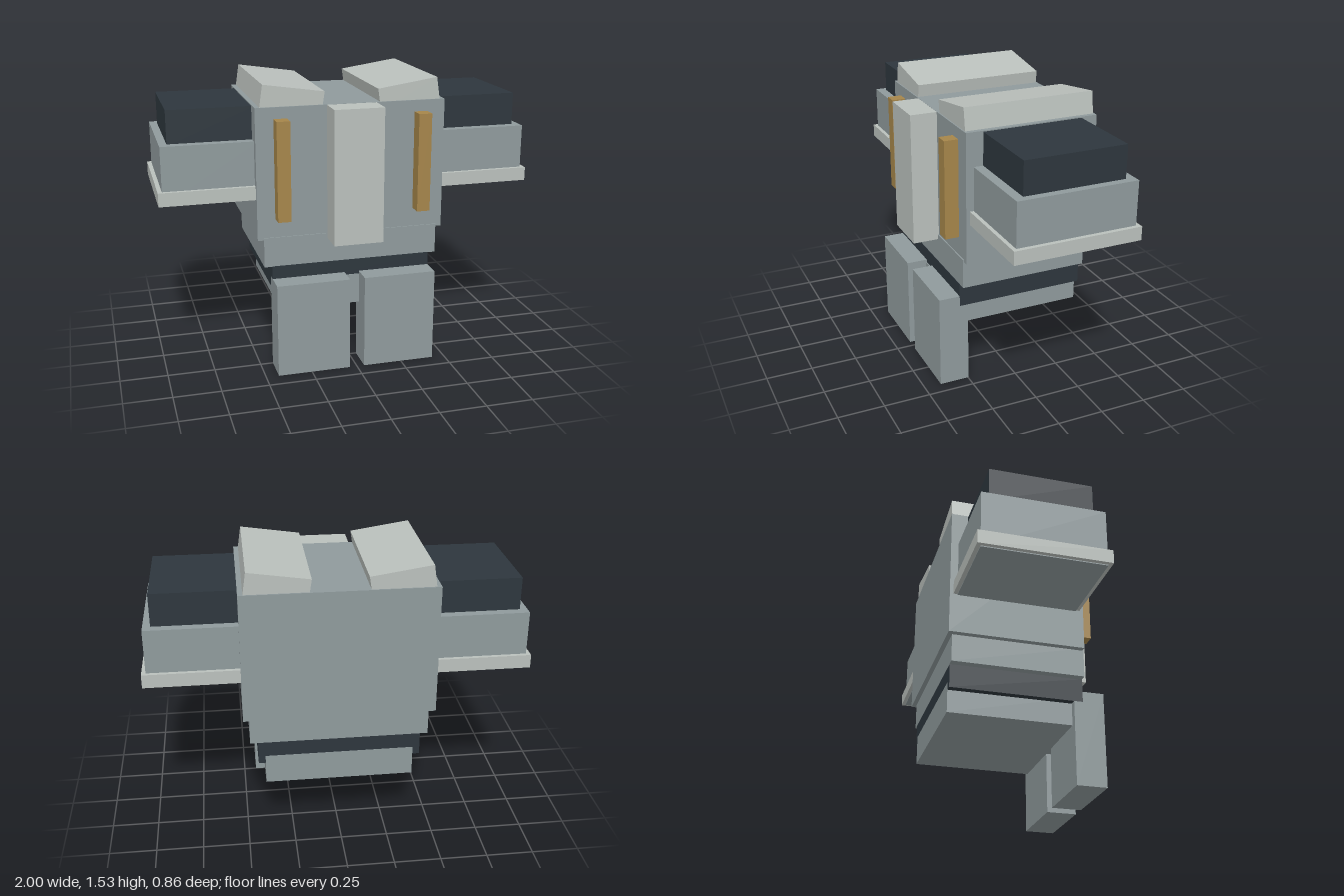
import * as THREE from 'three';

const material = (color) => new THREE.MeshStandardMaterial({ color, flatShading: true });

export function createModel() {
  const model = new THREE.Group();
  const grey = material(0x8f9a9c);
  const light = material(0xbac0bc);
  const dark = material(0x2d363d);
  const gold = material(0xa5854a);

  // Box given by its limits along each axis
  function block(name, mat, [x0, x1], [y0, y1], [z0, z1], parent = model) {
    const mesh = new THREE.Mesh(new THREE.BoxGeometry(x1 - x0, y1 - y0, z1 - z0), mat);
    mesh.position.set((x0 + x1) / 2, (y0 + y1) / 2, (z0 + z1) / 2);
    mesh.name = name;
    parent.add(mesh);
    return mesh;
  }

  // Body, from the chest down
  block('chest', grey, [-0.505, 0.505], [0.722, 1.42], [-0.431, 0.287]);
  block('chestPanel', light, [-0.132, 0.132], [0.707, 1.419], [0.2, 0.431]);
  block('waist', grey, [-0.473, 0.473], [0.575, 0.735], [-0.407, 0.293]);
  block('belt', dark, [-0.432, 0.432], [0.45, 0.577], [-0.406, 0.295]);
  block('pelvis', grey, [-0.395, 0.395], [0.33, 0.492], [-0.407, 0.3]);

  // Paired parts, laid out on one side and mirrored
  for (const [side, s] of [['left', 1], ['right', -1]]) {
    const half = new THREE.Group();
    half.name = side + 'Side';
    model.add(half);
    const pair = (name, mat, [a, b], y, z) =>
      block(side + name, mat, s > 0 ? [a, b] : [-b, -a], y, z, half);

    pair('ChestStrip', gold, [0.34, 0.41], [0.836, 1.36], [0.287, 0.362]);
    pair('Leg', grey, [0.04, 0.432], [0, 0.507], [0.248, 0.409]);

    // Arm pod: dark cap, grey body, light rim plate
    pair('ArmCap', dark, [0.48, 0.938], [1.23, 1.415], [-0.343, 0.196]);
    pair('ArmBody', grey, [0.48, 0.978], [0.933, 1.242], [-0.391, 0.246]);
    pair('ArmRim', light, [0.48, 1.0], [0.938, 1.01], [-0.412, 0.267]);

    // Shoulder slab, tilted up towards the outside
    const slab = pair('ShoulderSlab', light, [0.149, 0.473], [1.3915, 1.5115], [-0.424, 0.28]);
    slab.rotation.z = s * 0.148;
  }
  return model;
}
